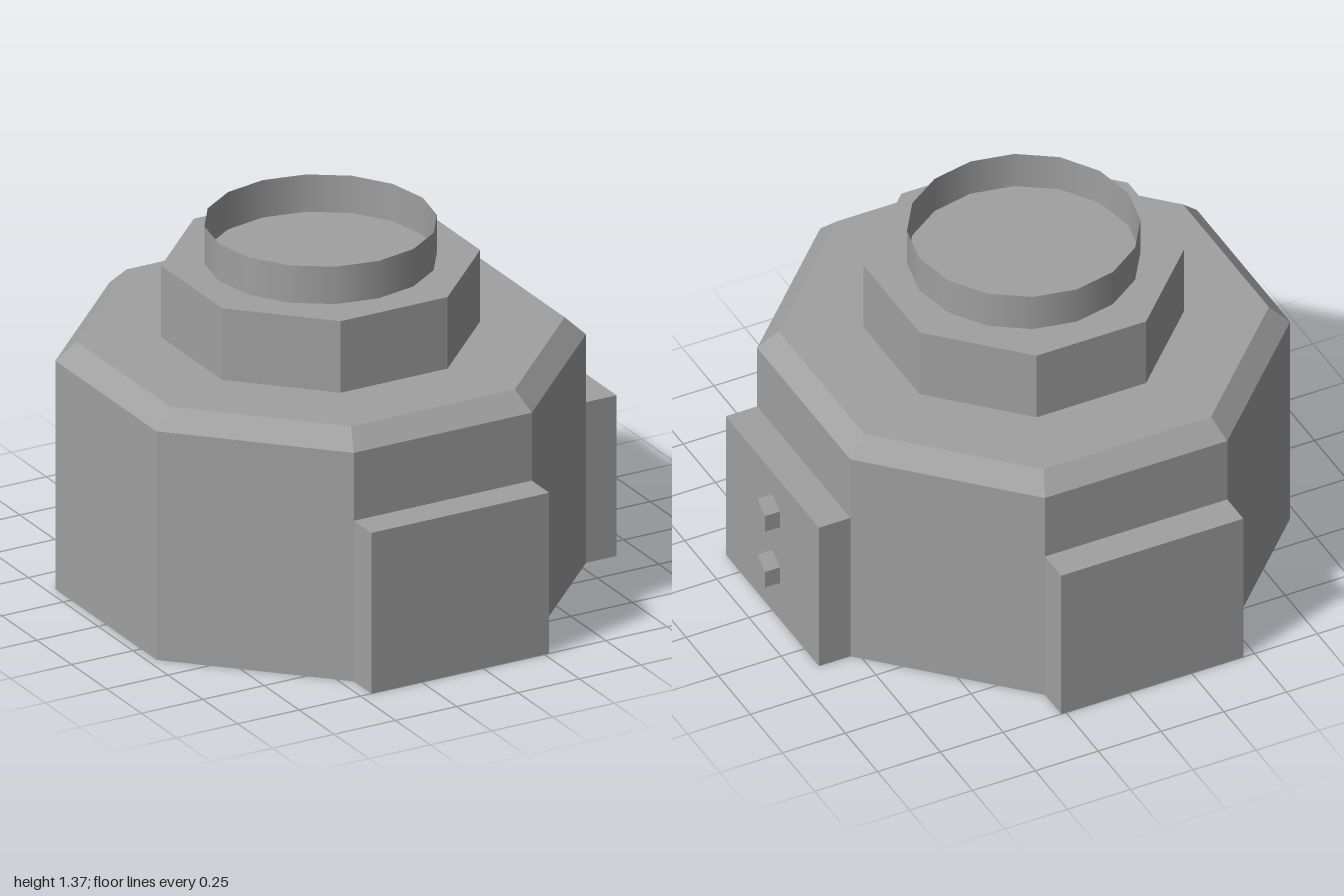
import * as THREE from 'three';

const grey = new THREE.MeshStandardMaterial({ color: 0xa0a0a0, side: THREE.DoubleSide });
grey.name = 'grey';

const CENTRE_X = -0.093;
const APOTHEM = 0.875; // from the axis to a flat side of the octagon
const SIDE = 2 * APOTHEM * Math.tan(Math.PI / 8);
const WALL_TOP = 0.882;
const PAD_TOP = 0.62;
const PAD_DEPTH = 0.125;

function addMesh(parent, name, geometry) {
  const mesh = new THREE.Mesh(geometry, grey);
  mesh.name = name;
  parent.add(mesh);
  return mesh;
}

// Flat-sided octagonal shell from [apothem, y] pairs
function octagonShell(profile) {
  const k = 1 / Math.cos(Math.PI / 8);
  const points = profile.map(([a, y]) => new THREE.Vector2(a * k, y));
  const geometry = new THREE.LatheGeometry(points, 8, Math.PI / 8).toNonIndexed();
  geometry.computeVertexNormals();
  return geometry;
}

// Raised pad, open towards the hollow body
function padGeometry() {
  const box = new THREE.BoxGeometry(SIDE, PAD_TOP, PAD_DEPTH);
  box.setIndex(Array.from(box.index.array).slice(0, 30)); // drop the back face
  box.clearGroups();
  return box.translate(0, PAD_TOP / 2, APOTHEM + PAD_DEPTH / 2);
}

export function createModel() {
  const model = new THREE.Group();
  model.name = 'housing';
  const core = new THREE.Group();
  core.name = 'octagonalBody';
  core.position.x = CENTRE_X;
  model.add(core);

  // Eight walls; front, right-hand (+x) and back ones sit above pads
  const pads = { 0: 'frontPad', 2: 'sidePad', 4: 'backPad' };
  for (let i = 0; i < 8; i++) {
    const side = new THREE.Group();
    side.name = 'bodySide' + (i + 1);
    side.rotation.y = (i * Math.PI) / 4;
    core.add(side);

    const bottom = pads[i] ? PAD_TOP : 0;
    const wall = new THREE.PlaneGeometry(SIDE, WALL_TOP - bottom);
    addMesh(side, 'wall', wall.translate(0, (WALL_TOP + bottom) / 2, APOTHEM));
    if (pads[i]) addMesh(side, pads[i], padGeometry());

    // Two hexagonal bolts on the side pad
    if (i === 2) {
      for (const y of [0.45, 0.2]) {
        const bolt = new THREE.CylinderGeometry(0.07, 0.07, 0.06, 6).toNonIndexed();
        bolt.computeVertexNormals();
        bolt.rotateX(Math.PI / 2).translate(0, y, APOTHEM + PAD_DEPTH + 0.03);
        addMesh(side, 'bolt', bolt);
      }
    }
  }

  // Bevelled shoulder and neck
  addMesh(core, 'shoulder', octagonShell([[APOTHEM, WALL_TOP], [0.805, 0.952], [0.526, 0.952]]));
  addMesh(core, 'neck', octagonShell([[0.526, 0.952], [0.526, 1.228], [0, 1.228]]));

  // Thin open collar
  const collar = new THREE.CylinderGeometry(0.415, 0.415, 0.144, 16, 1, true);
  addMesh(core, 'collar', collar.translate(0, 1.3, 0));

  return model;
}
